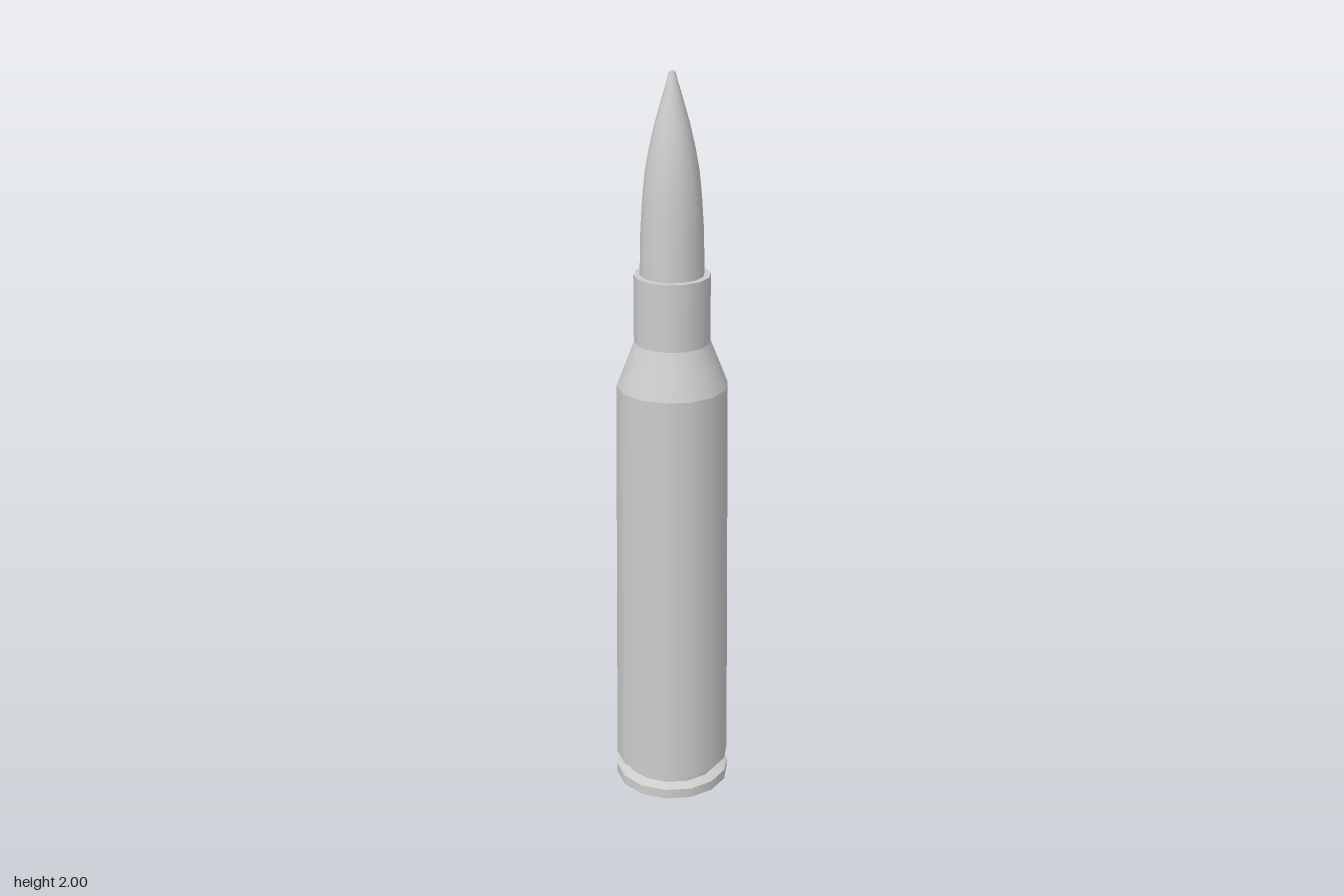
import * as THREE from 'three';

const SIDES = 14;

export function createModel() {
  const model = new THREE.Group();
  const metal = new THREE.MeshStandardMaterial({ color: 0xcccccc });
  metal.name = 'grey metal';

  // Each section is [radius, height] points from bottom to top; sections meet at sharp edges.
  function turnedPart(name, sections) {
    const part = new THREE.Group();
    part.name = name;
    sections.forEach((points, i) => {
      const profile = points.map(([r, y]) => new THREE.Vector2(r, y));
      const mesh = new THREE.Mesh(new THREE.LatheGeometry(profile, SIDES), metal);
      mesh.name = `${name}Section${i + 1}`;
      part.add(mesh);
    });
    model.add(part);
  }

  // Flat base, rim and its upper face
  turnedPart('rim', [
    [[0, 0], [0.158, 0]],
    [[0.158, 0], [0.158, 0.028]],
    [[0.158, 0.028], [0.132, 0.038]],
  ]);

  // Narrow groove above the rim
  turnedPart('extractorGroove', [
    [[0.132, 0.036], [0.132, 0.056]],
    [[0.132, 0.056], [0.157, 0.068]],
  ]);

  // Tapered body, shoulder, neck and flat mouth
  turnedPart('case', [
    [[0.157, 0.068], [0.147, 1.18]],
    [[0.147, 1.18], [0.1, 1.3]],
    [[0.1, 1.3], [0.1, 1.48]],
    [[0.1, 1.48], [0.08, 1.48]],
  ]);

  // Pointed tip with a small flat end
  turnedPart('tip', [
    [[0.084, 1.47], [0.081, 1.6], [0.076, 1.68], [0.069, 1.75], [0.058, 1.81],
      [0.044, 1.87], [0.027, 1.93], [0.015, 1.97], [0.008, 1.996]],
    [[0.008, 1.996], [0, 2]],
  ]);

  return model;
}
